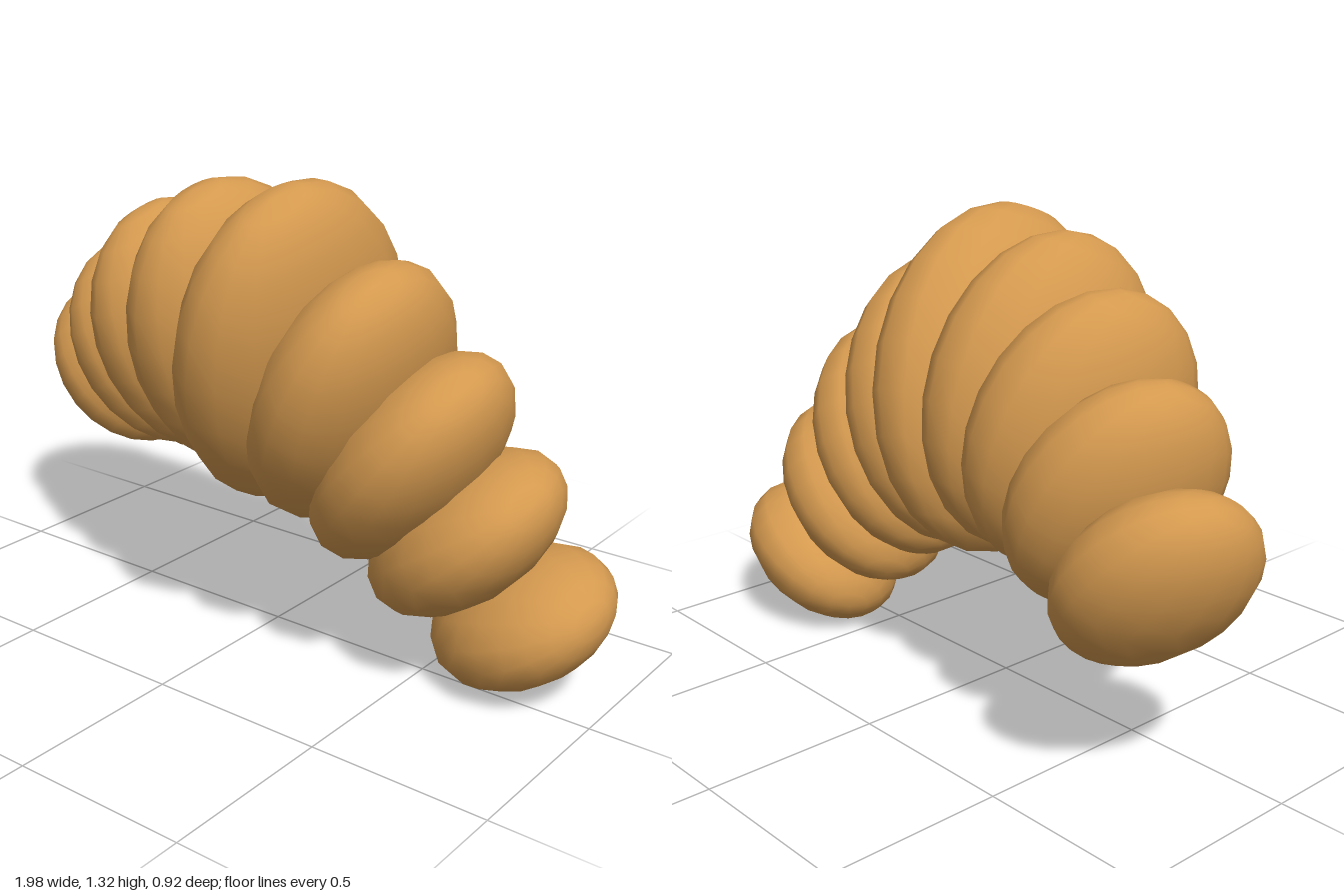
import * as THREE from 'three';

export function createModel() {
  const model = new THREE.Group();
  model.name = 'croissant';
  const crust = new THREE.MeshStandardMaterial({ color: 0xd4994f });
  crust.name = 'golden crust';

  // The crescent lies in its own tilted plane: chord along x, bulge along y
  const arc = new THREE.Group();
  arc.name = 'crescent';
  const chord = new THREE.Vector3(0.965, -0.253, 0.077).normalize();
  const normal = chord.clone().cross(new THREE.Vector3(0.203, 0.886, 0.417)).normalize();
  const bulge = normal.clone().cross(chord);
  arc.quaternion.setFromRotationMatrix(new THREE.Matrix4().makeBasis(chord, bulge, normal));
  arc.position.set(-0.0175, 0.39, -0.17);
  model.add(arc);

  // Dough rolls from the middle outwards:
  // chord offset, bulge offset, half thickness, half height, half depth
  const rolls = [
    [0, 0.525, 0.215, 0.497, 0.384],
    [0.215, 0.477, 0.205, 0.435, 0.342],
    [0.41, 0.365, 0.19, 0.385, 0.315],
    [0.59, 0.2, 0.175, 0.333, 0.28],
    [0.78, 0, 0.161, 0.281, 0.247],
  ];
  const ball = new THREE.SphereGeometry(1, 16, 12);
  const lean = THREE.MathUtils.degToRad(13);

  rolls.forEach(([u, v, thick, high, deep], i) => {
    for (const side of i === 0 ? [1] : [-1, 1]) {
      const roll = new THREE.Mesh(ball, crust);
      roll.name = i === 0 ? 'middleRoll' : (side > 0 ? 'leftRoll' : 'rightRoll') + i;
      roll.position.set(side * u, v, 0);
      roll.rotation.z = -side * i * lean;
      roll.scale.set(thick, high, deep);
      arc.add(roll);
    }
  });
  return model;
}
